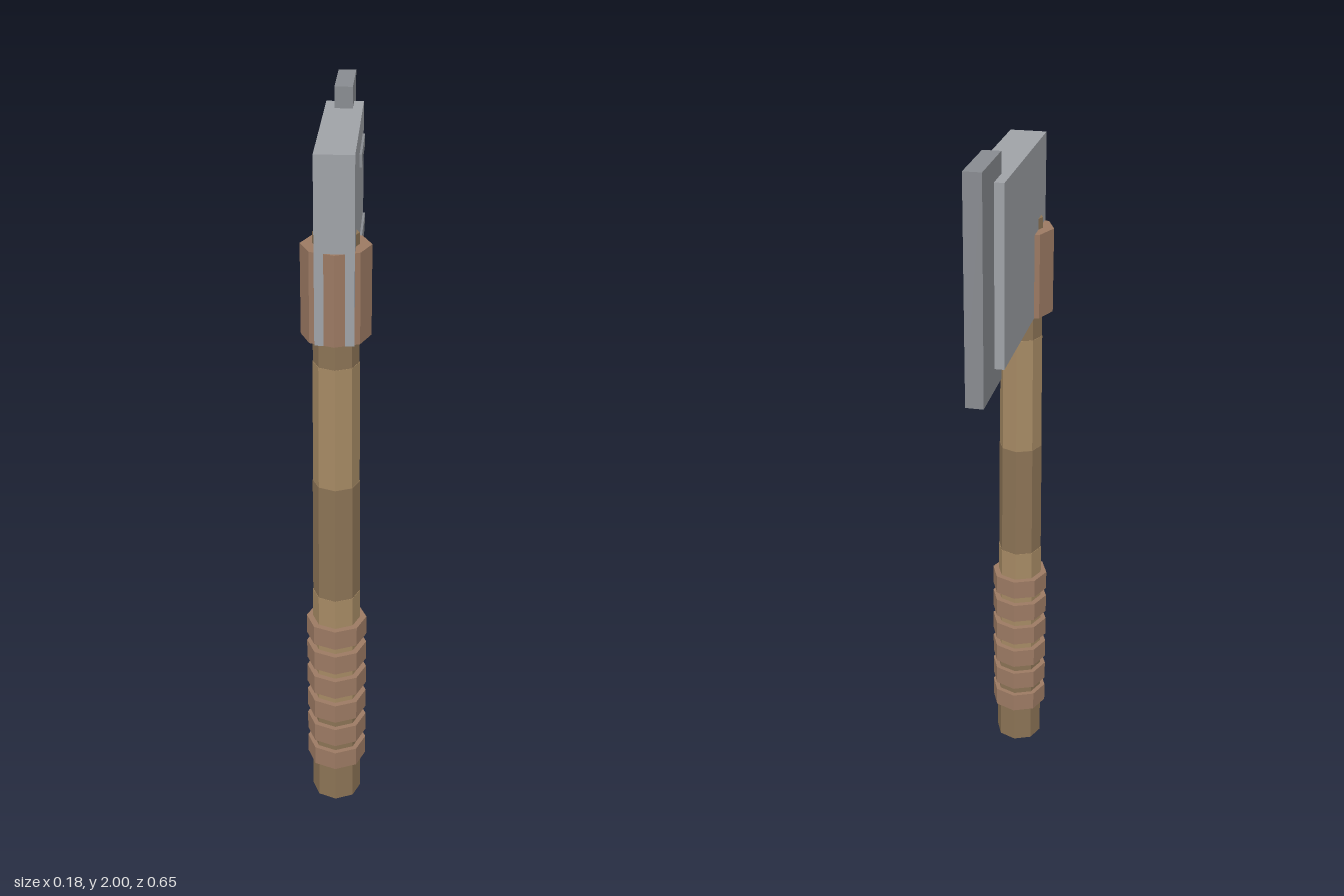
import * as THREE from 'three';

const AXIS_Z = 0.236; // the handle stands forward of the centre

const paint = (color) => new THREE.MeshStandardMaterial({ color, flatShading: true });

export function createModel() {
  const model = new THREE.Group();
  const darkWood = paint(0x8b7355);
  const lightWood = paint(0xa68a64);
  const leather = paint(0x9c7a63);
  const steel = paint(0x9fa2a7);
  const darkSteel = paint(0x888b90);

  // Octagonal prism on the handle axis, from y0 to y1
  function octagon(name, rBottom, rTop, y0, y1, material) {
    const mesh = new THREE.Mesh(new THREE.CylinderGeometry(rTop, rBottom, y1 - y0, 8), material);
    mesh.position.set(0, (y0 + y1) / 2, AXIS_Z);
    mesh.name = name;
    model.add(mesh);
  }

  // Box given by its low and high limits on each axis
  function block(name, [x0, x1], [y0, y1], [z0, z1], material) {
    const mesh = new THREE.Mesh(new THREE.BoxGeometry(x1 - x0, y1 - y0, z1 - z0), material);
    mesh.position.set((x0 + x1) / 2, (y0 + y1) / 2, (z0 + z1) / 2);
    mesh.name = name;
    model.add(mesh);
  }

  // Shaft: five slightly thinning sections in alternating wood
  const sections = 5, sectionHeight = 1.73 / sections;
  for (let i = 0; i < sections; i++) {
    const r = 0.07 - i * 0.0025;
    octagon(`shaftSection${i + 1}`, r, r - 0.0015, i * sectionHeight, (i + 1) * sectionHeight,
      i % 2 ? lightWood : darkWood);
  }

  // Grip wraps
  for (let i = 0; i < 6; i++) {
    const y = 0.152 + i * 0.0845;
    octagon(`gripRing${i + 1}`, 0.084, 0.084, y - 0.029, y + 0.029, leather);
  }

  // Collar binding the head to the shaft
  octagon('collar', 0.09, 0.09, 1.46, 1.7, leather);

  // Head and cutting edge
  block('bladeBody', [-0.05, 0.05], [1.46, 1.944], [-0.207, 0.315], steel);
  block('cuttingEdge', [-0.024, 0.024], [1.4, 2], [-0.328, -0.127], darkSteel);

  // Raised scratches on one cheek: y range, z range, outer x
  const marks = [
    [[1.843, 1.876], [-0.136, 0.065], 0.056],
    [[1.607, 1.649], [-0.17, 0.037], 0.056],
    [[1.597, 1.628], [-0.073, 0.053], 0.055],
    [[1.543, 1.586], [-0.11, 0.134], 0.056],
  ];
  marks.forEach(([y, z, x], i) => block(`scratch${i + 1}`, [0.045, x], y, z, darkSteel));

  return model;
}
